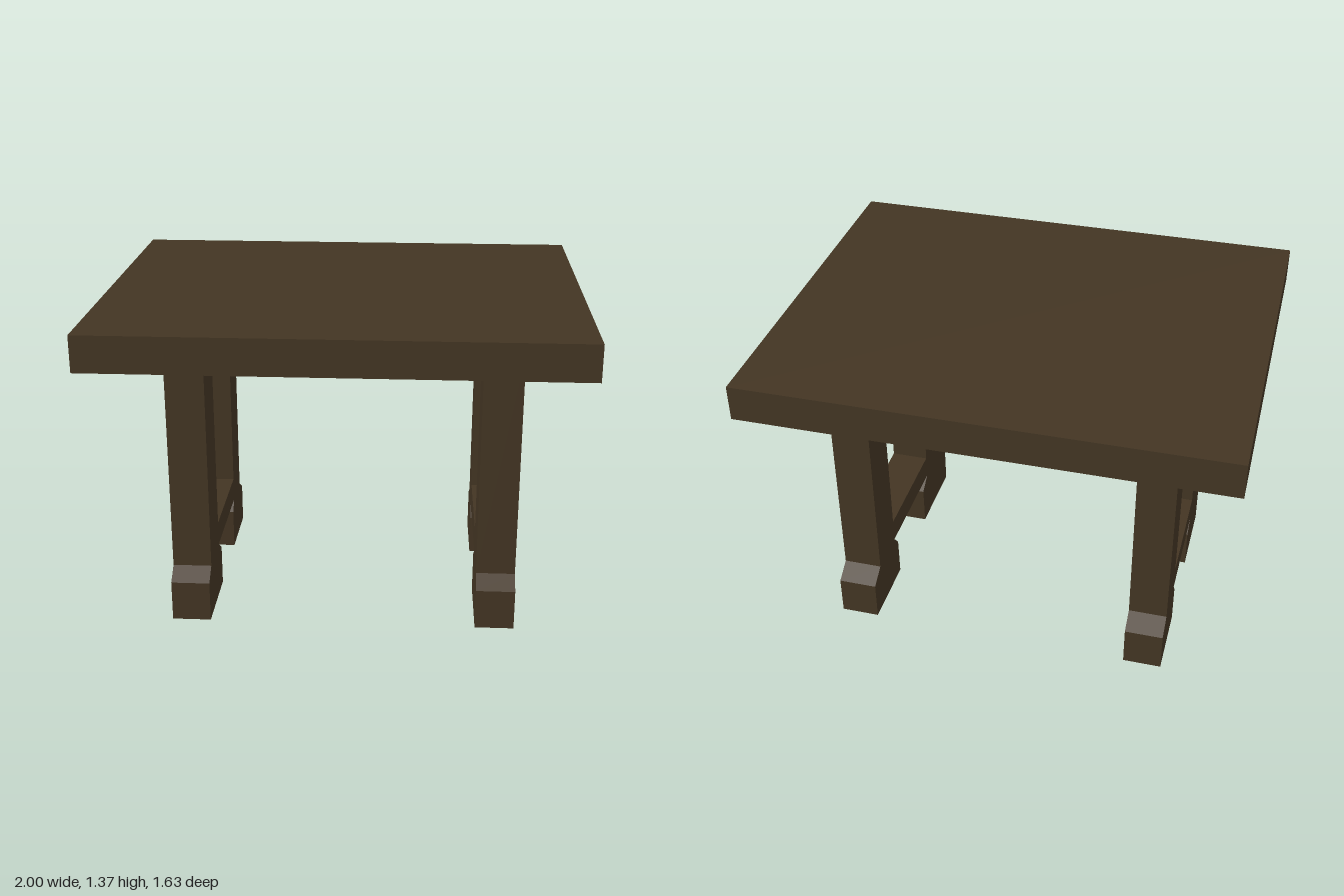
import * as THREE from 'three';

const darkWood = new THREE.MeshStandardMaterial({ color: 0x433523 });
darkWood.name = 'darkWood';

// Side outline of one trestle as [z, y]: two footed legs joined by a stretcher
const outline = [
  [-0.545, 0], [-0.228, 0], [-0.228, 0.175], [-0.27, 0.226],
  [0.223, 0.226], [0.153, 0.175], [0.153, 0], [0.508, 0],
  [0.508, 0.175], [0.44, 0.226], [0.44, 1.22], [0.223, 1.22],
  [0.223, 0.33], [-0.27, 0.33], [-0.27, 1.22], [-0.464, 1.22],
  [-0.464, 0.226], [-0.545, 0.175],
];

function makeTrestle(name, xMin, xMax) {
  const shape = new THREE.Shape(outline.map(([z, y]) => new THREE.Vector2(z, y)));
  const geometry = new THREE.ExtrudeGeometry(shape, { depth: xMax - xMin, bevelEnabled: false });
  geometry.rotateY(-Math.PI / 2); // outline runs along z, thickness runs along -x
  geometry.translate(xMax, 0, 0);
  const mesh = new THREE.Mesh(geometry, darkWood);
  mesh.name = name;
  return mesh;
}

export function createModel() {
  const table = new THREE.Group();
  table.name = 'table';

  // Thick slab top
  const top = new THREE.Mesh(new THREE.BoxGeometry(2, 0.15, 1.634), darkWood);
  top.name = 'tabletop';
  top.position.y = 1.295;
  table.add(top);

  // Trestles at either end
  table.add(makeTrestle('leftTrestle', 0.583, 0.749));
  table.add(makeTrestle('rightTrestle', -0.722, -0.557));
  return table;
}
